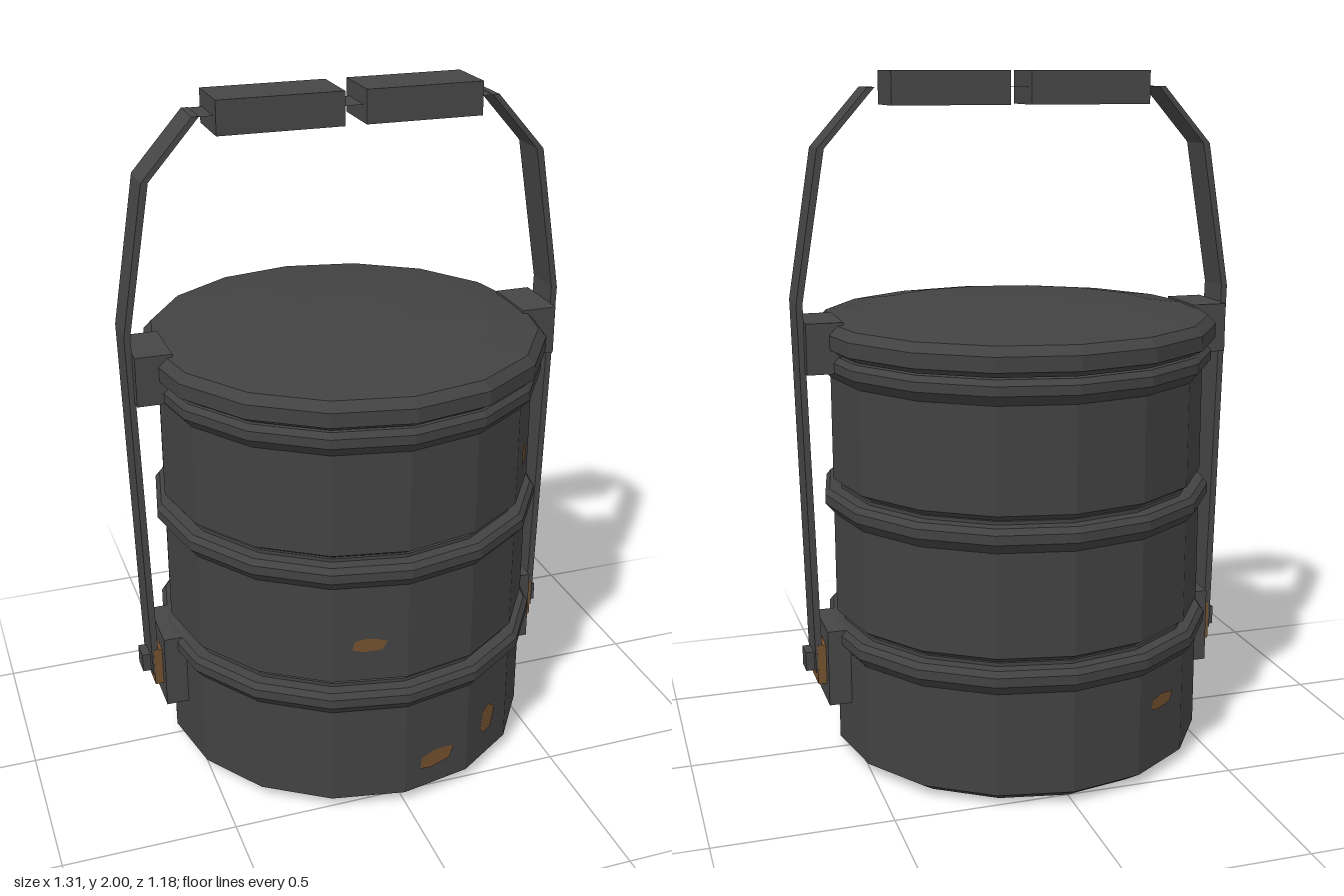
import * as THREE from 'three';

export function createModel() {
  const model = new THREE.Group();
  const mat = (name, color) => {
    const m = new THREE.MeshStandardMaterial({ color, flatShading: true, side: THREE.DoubleSide });
    m.name = name;
    return m;
  };
  const iron = mat('dark iron', 0x424242);
  const steel = mat('handle steel', 0x464646);
  const rust = mat('rust', 0x74512f);

  const add = (parent, name, geo, material, x = 0, y = 0, z = 0) => {
    const mesh = new THREE.Mesh(geo, material);
    mesh.name = name;
    mesh.position.set(x, y, z);
    parent.add(mesh);
    return mesh;
  };
  // Box given by its x and y ranges and depth centred on z = 0
  const box = (parent, name, material, x0, x1, y0, y1, depth) =>
    add(parent, name, new THREE.BoxGeometry(x1 - x0, y1 - y0, depth), material, (x0 + x1) / 2, (y0 + y1) / 2);
  // Sixteen-sided turned shape, with a corner on the z axis
  const turned = (name, profile, y) => add(model, name,
    new THREE.LatheGeometry(profile.map(([r, h]) => new THREE.Vector2(r, h)), 16), iron, 0, y);

  // Three stacked food containers, each with a chamfered foot and flared rim
  ['lowerContainer', 'middleContainer', 'upperContainer'].forEach((name, i) => turned(name, [
    [0, 0], [0.5, 0], [0.553, 0.034], [0.553, 0.335], [0.578, 0.365],
    [0.578, 0.392], [0.565, 0.408], [0.53, 0.408], [0.53, 0.418], [0, 0.418],
  ], i * 0.404));

  // Gently domed lid
  turned('lid', [
    [0, 0], [0.56, 0], [0.573, 0.01], [0.589, 0.018], [0.589, 0.06],
    [0.565, 0.085], [0.43, 0.104], [0.18, 0.112], [0, 0.113],
  ], 1.22);

  // Side hardware: strap, brackets, clip and pin, repeated by a half turn
  const strapShape = new THREE.Shape([
    [0.61, 0.27], [0.63, 0.27], [0.655, 1.365], [0.585, 1.79], [0.44, 1.955],
    [0.42, 1.955], [0.565, 1.79], [0.637, 1.365],
  ].map(([x, y]) => new THREE.Vector2(x, y)));
  const strapGeo = new THREE.ExtrudeGeometry(strapShape, { depth: 0.12, bevelEnabled: false });
  strapGeo.translate(0, 0, -0.06);
  for (const side of ['left', 'right']) {
    const g = new THREE.Group();
    g.name = side + 'Hardware';
    if (side === 'right') g.rotation.y = Math.PI;
    add(g, 'handleStrap', strapGeo, steel);
    box(g, 'upperBracket', steel, 0.53, 0.636, 1.17, 1.315, 0.19);
    box(g, 'lowerBracket', steel, 0.53, 0.6, 0.18, 0.408, 0.196);
    box(g, 'rustyClip', rust, 0.6, 0.625, 0.235, 0.355, 0.122);
    box(g, 'pin', steel, 0.61, 0.655, 0.268, 0.325, 0.06);
    model.add(g);
  }

  // Thin cross plate with two block grips
  const plate = new THREE.PlaneGeometry(0.88, 0.12);
  plate.rotateX(-Math.PI / 2);
  add(model, 'handlePlate', plate, steel, 0, 1.954, 0);
  box(model, 'rightGrip', steel, -0.382, -0.024, 1.905, 2, 0.17);
  box(model, 'leftGrip', steel, 0.038, 0.38, 1.905, 2, 0.17);

  // Rust patches lying on the flat sides: [side number, height, width, tall, tilt]
  const outline = [[-0.5, -0.3], [-0.2, -0.5], [0.35, -0.4], [0.5, 0.2], [0.25, 0.35], [-0.05, 0.45], [-0.42, 0.3]];
  const patches = [
    [-1, 0.555, 0.1, 0.045, 0],
    [0, 0.125, 0.12, 0.06, 0.1],
    [1, 0.165, 0.07, 0.1, -0.1],
    [2, 0.955, 0.075, 0.065, 0],
    [9, 0.23, 0.11, 0.045, 0],
  ];
  for (const [n, y, w, h, tilt] of patches) {
    const shape = new THREE.Shape(outline.map(([a, b]) => new THREE.Vector2(a * w, b * h)));
    const angle = (n + 0.5) * Math.PI / 8;
    const p = add(model, 'rustPatch', new THREE.ShapeGeometry(shape), rust,
      0.5455 * Math.sin(angle), y, 0.5455 * Math.cos(angle));
    p.rotation.set(0, angle, tilt);
  }
  return model;
}
